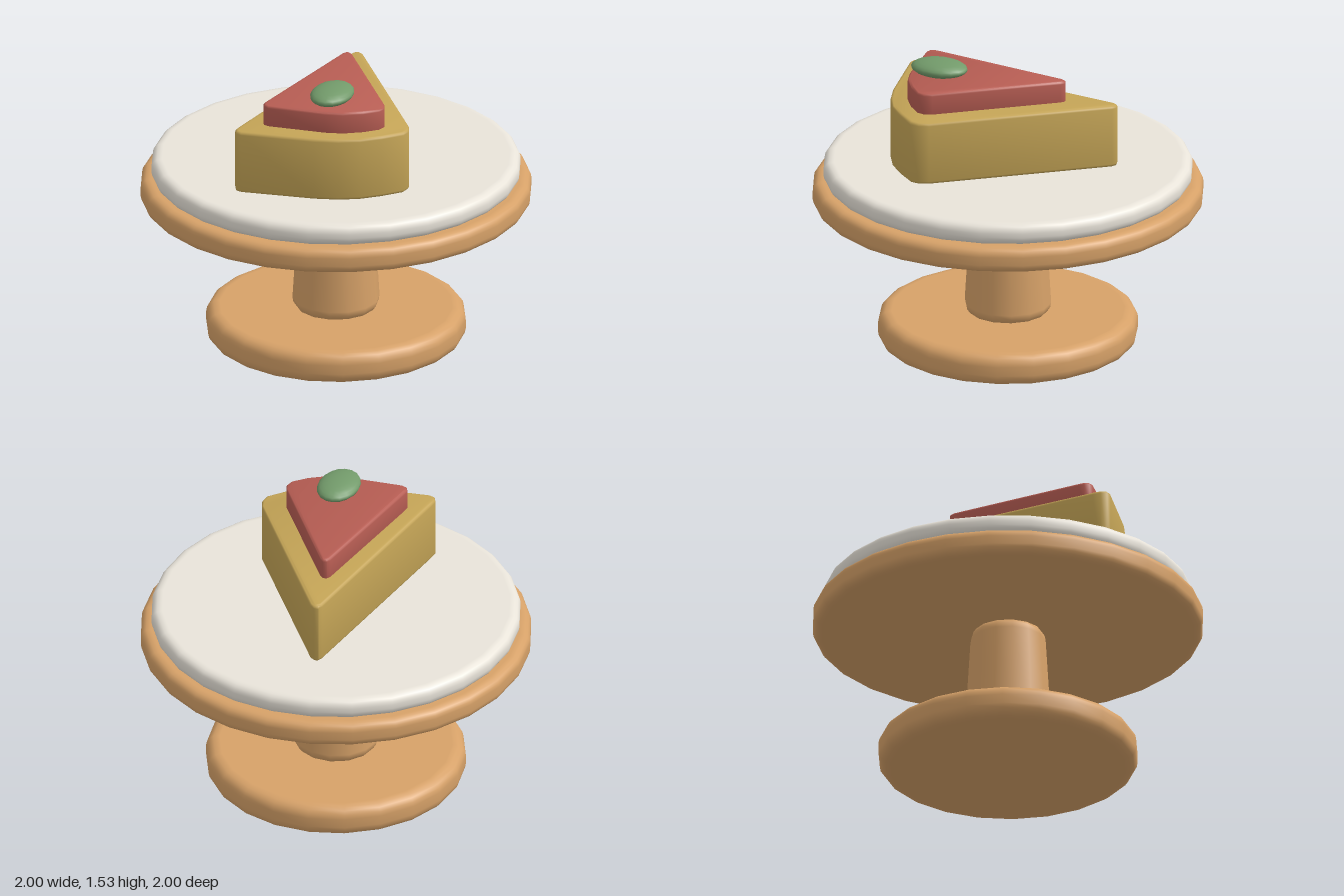
import * as THREE from 'three';
import { toCreasedNormals } from 'three/addons/utils/BufferGeometryUtils.js';

const paint = (color) => new THREE.MeshStandardMaterial({ color });

function add(group, name, geometry, material) {
  const mesh = new THREE.Mesh(geometry, material);
  mesh.name = name;
  group.add(mesh);
  return mesh;
}

// Round disc or post with softened rims; r0 and r1 are the bottom and top radii
function roundedDisc(r0, r1, y0, y1, soft, sides) {
  const pts = [new THREE.Vector2(0, y0), new THREE.Vector2(r0 - soft - 0.01, y0)];
  const steps = 4;
  for (let i = 0; i <= steps; i++) {
    const a = (i / steps) * Math.PI / 2;
    pts.push(new THREE.Vector2(r0 - soft + soft * Math.sin(a), y0 + soft - soft * Math.cos(a)));
  }
  for (let i = 0; i <= steps; i++) {
    const a = (i / steps) * Math.PI / 2;
    pts.push(new THREE.Vector2(r1 - soft + soft * Math.cos(a), y1 - soft + soft * Math.sin(a)));
  }
  pts.push(new THREE.Vector2(r1 - soft - 0.01, y1), new THREE.Vector2(0, y1));
  return new THREE.LatheGeometry(pts, sides).rotateY(Math.PI / 2);
}

// Upright slab from an outline of [x, z] points, with a small bevel
function slab(outline, y0, y1, bevel) {
  const shape = new THREE.Shape(outline.map(([x, z]) => new THREE.Vector2(x, z)));
  const geo = new THREE.ExtrudeGeometry(shape, {
    depth: y1 - y0 - 2 * bevel, bevelEnabled: true, bevelThickness: bevel,
    bevelSize: bevel, bevelOffset: -bevel, bevelSegments: 3,
  });
  geo.rotateX(Math.PI / 2).translate(0, y1 - bevel, 0);
  return toCreasedNormals(geo, 0.9);
}

export function createModel() {
  const group = new THREE.Group();
  group.name = 'cakeStand';
  const wood = paint(0xd6a168);

  // Wooden stand
  add(group, 'base', roundedDisc(0.665, 0.665, 0, 0.168, 0.06, 22), wood);
  add(group, 'stem', roundedDisc(0.223, 0.193, 0.15, 0.775, 0.065, 14), wood);
  add(group, 'board', roundedDisc(1, 1, 0.757, 0.89, 0.045, 28), wood);

  // Plate
  add(group, 'plate', roundedDisc(0.945, 0.945, 0.888, 1, 0.045, 28), paint(0xe8e3d9));

  // Cake slice with curved outer edge
  add(group, 'cakeSlice', slab([
    [-0.125, -0.53], [-0.113, -0.555], [-0.09, -0.56], [-0.065, -0.545],
    [0.495, 0.24], [0.513, 0.29], [0.505, 0.34], [0.42, 0.43], [0.33, 0.505],
    [0.23, 0.555], [0.11, 0.588], [-0.27, 0.643], [-0.30, 0.635], [-0.315, 0.605], [-0.31, 0.56],
  ], 1, 1.335, 0.016), paint(0xc4a456));

  // Icing layer
  add(group, 'icing', slab([
    [-0.072, -0.27], [-0.06, -0.292], [-0.04, -0.296], [-0.02, -0.28],
    [0.373, 0.27], [0.386, 0.31], [0.375, 0.35], [0.31, 0.41], [0.22, 0.465],
    [0.13, 0.488], [-0.17, 0.515], [-0.197, 0.505], [-0.209, 0.48], [-0.205, 0.45],
  ], 1.32, 1.447, 0.014), paint(0xb75d53));

  // Leaf garnish
  const leaf = add(group, 'leaf', new THREE.SphereGeometry(1, 18, 12), paint(0x729a6a));
  leaf.scale.set(0.107, 0.043, 0.15);
  leaf.position.set(0.11, 1.487, 0.333);

  return group;
}
